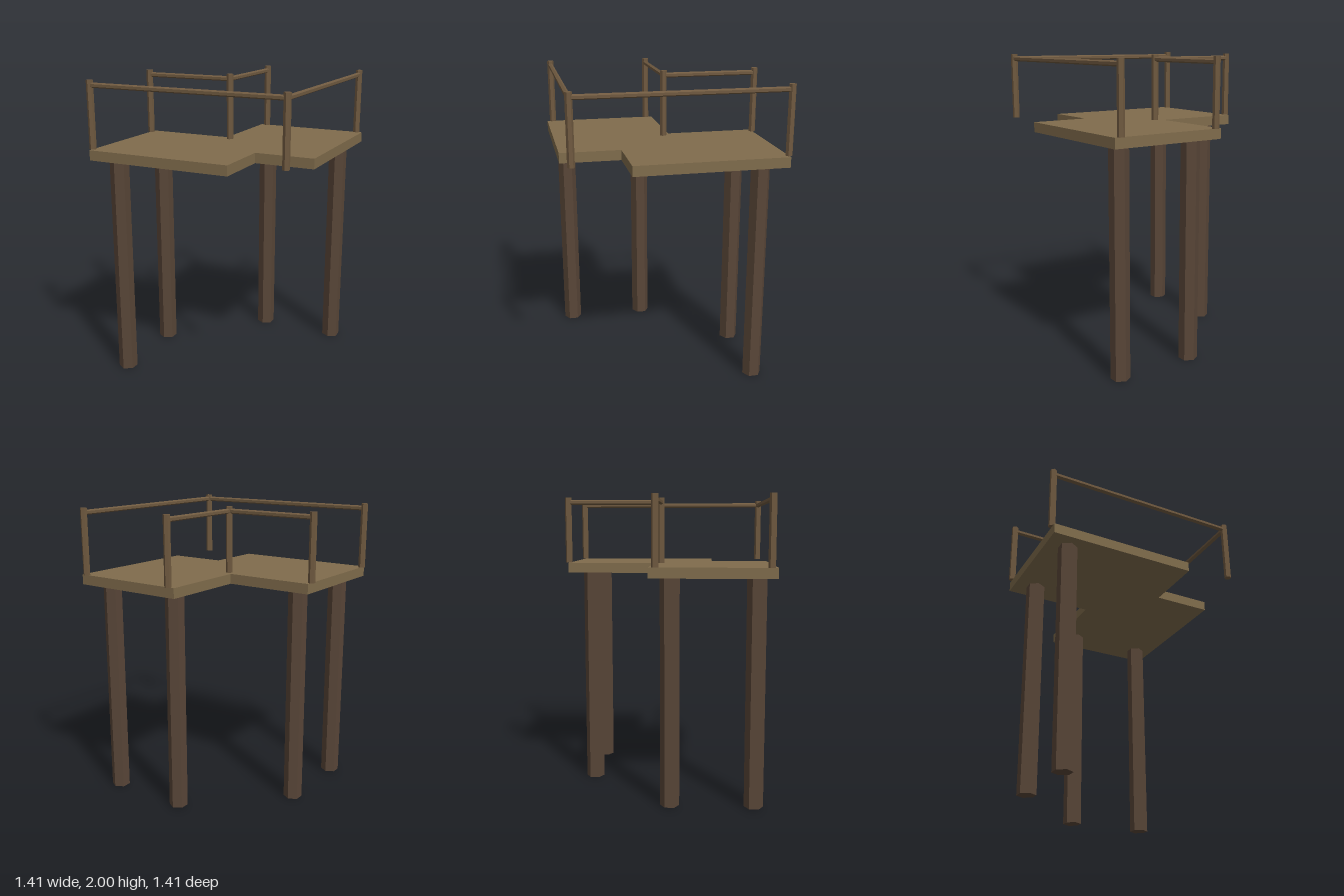
import * as THREE from 'three';

const mat = (color) => new THREE.MeshStandardMaterial({ color, flatShading: true });

export function createModel() {
  const group = new THREE.Group();
  const deckMat = mat(0x806c4c);
  const legMat = mat(0x594638);
  const railMat = mat(0x705a40);

  const add = (name, geometry, material, x, y, z) => {
    const mesh = new THREE.Mesh(geometry, material);
    mesh.name = name;
    mesh.position.set(x, y, z);
    group.add(mesh);
    return mesh;
  };

  const deckBottom = 1.49, deckTop = 1.557, top = 2;

  // Deck: two overlapping slabs merged into one stepped outline (x, z)
  const outline = [
    [-0.685, 0.702], [0.305, 0.702], [0.305, 0.305], [0.702, 0.305],
    [0.702, -0.685], [-0.09, -0.685], [-0.09, -0.09], [-0.685, -0.09],
  ];
  const shape = new THREE.Shape(outline.map(([x, z]) => new THREE.Vector2(x, -z)));
  const deckGeo = new THREE.ExtrudeGeometry(shape, { depth: deckTop - deckBottom, bevelEnabled: false });
  deckGeo.rotateX(-Math.PI / 2);
  add('deck', deckGeo, deckMat, 0, deckBottom, 0);

  // Hexagonal support legs
  const legGeo = new THREE.CylinderGeometry(0.063, 0.063, deckBottom, 6);
  for (const [x, z] of [[-0.54, 0.583], [-0.54, 0.037], [0.032, -0.534], [0.577, -0.534]]) {
    add('leg', legGeo, legMat, x, deckBottom / 2, z);
  }

  // Railing posts, one of them hanging free over the notch
  const lo = -0.686, mid = -0.046, hi = 0.66;
  const postGeo = new THREE.CylinderGeometry(0.023, 0.023, top - deckTop, 6);
  for (const [x, z] of [[lo, hi], [hi, hi], [hi, lo], [mid, lo], [mid, mid], [lo, mid]]) {
    add('railingPost', postGeo, railMat, x, (top + deckTop) / 2, z);
  }

  // Handrails between the posts, hexagonal with an edge upward
  const rail = (alongX, from, to, across) => {
    const geo = new THREE.CylinderGeometry(0.017, 0.017, to - from, 6);
    if (alongX) geo.rotateY(Math.PI / 6).rotateZ(Math.PI / 2);
    else geo.rotateX(Math.PI / 2);
    const c = (from + to) / 2;
    add('handrail', geo, railMat, alongX ? c : across, 1.968, alongX ? across : c);
  };
  for (const alongX of [true, false]) {
    rail(alongX, lo, hi, hi);
    rail(alongX, lo, mid, mid);
  }

  return group;
}
